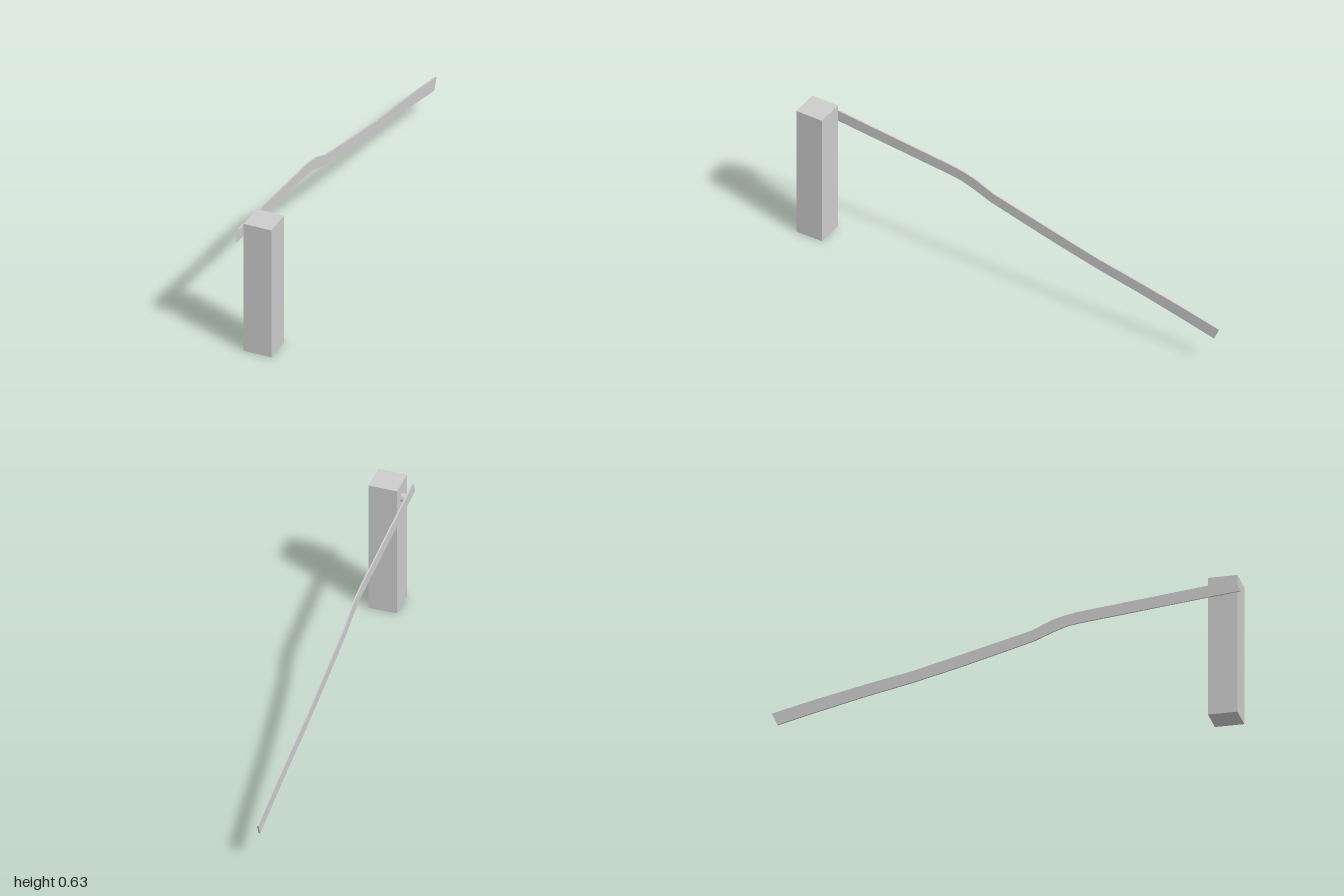
import * as THREE from 'three';

const material = new THREE.MeshStandardMaterial({ color: 0xcccccc, flatShading: true });

function addPart(group, name, geometry, x, y, z) {
  const mesh = new THREE.Mesh(geometry, material);
  mesh.name = name;
  mesh.position.set(x, y, z);
  group.add(mesh);
  return mesh;
}

export function createModel() {
  const group = new THREE.Group();
  group.name = 'handrailWithPost';

  // Square post
  addPart(group, 'post', new THREE.BoxGeometry(0.126, 0.627, 0.126), 0.015, 0.3135, 0.919);

  // Short round peg joining the post to the rail
  const peg = addPart(group, 'peg', new THREE.CylinderGeometry(0.0185, 0.0185, 0.028, 16), -0.06, 0.558, 0.914);
  peg.rotation.z = Math.PI / 2;

  // Thin bent rail: side outline as (z, y), upper edge then lower edge
  const upper = [
    [0.98, 0.59], [0.86, 0.577], [0.304, 0.515], [0.25, 0.505], [0.196, 0.49], [0.11, 0.451],
    [0, 0.422], [-0.2, 0.37], [-0.4, 0.319], [-0.6, 0.279], [-0.8, 0.236], [-1, 0.188],
  ];
  const lower = [
    [-0.975, 0.134], [-0.8, 0.178], [-0.6, 0.225], [-0.4, 0.267], [-0.2, 0.316], [0, 0.37],
    [0.125, 0.405], [0.205, 0.438], [0.26, 0.456], [0.31, 0.465], [0.86, 0.525], [1, 0.539],
  ];
  const outline = new THREE.Shape([...upper, ...lower].map(([z, y]) => new THREE.Vector2(z, y)));
  const rail = new THREE.ExtrudeGeometry(outline, { depth: 0.007, bevelEnabled: false });
  rail.rotateY(-Math.PI / 2); // outline runs along z, thickness along -x
  addPart(group, 'rail', rail, -0.071, 0, 0);

  return group;
}
